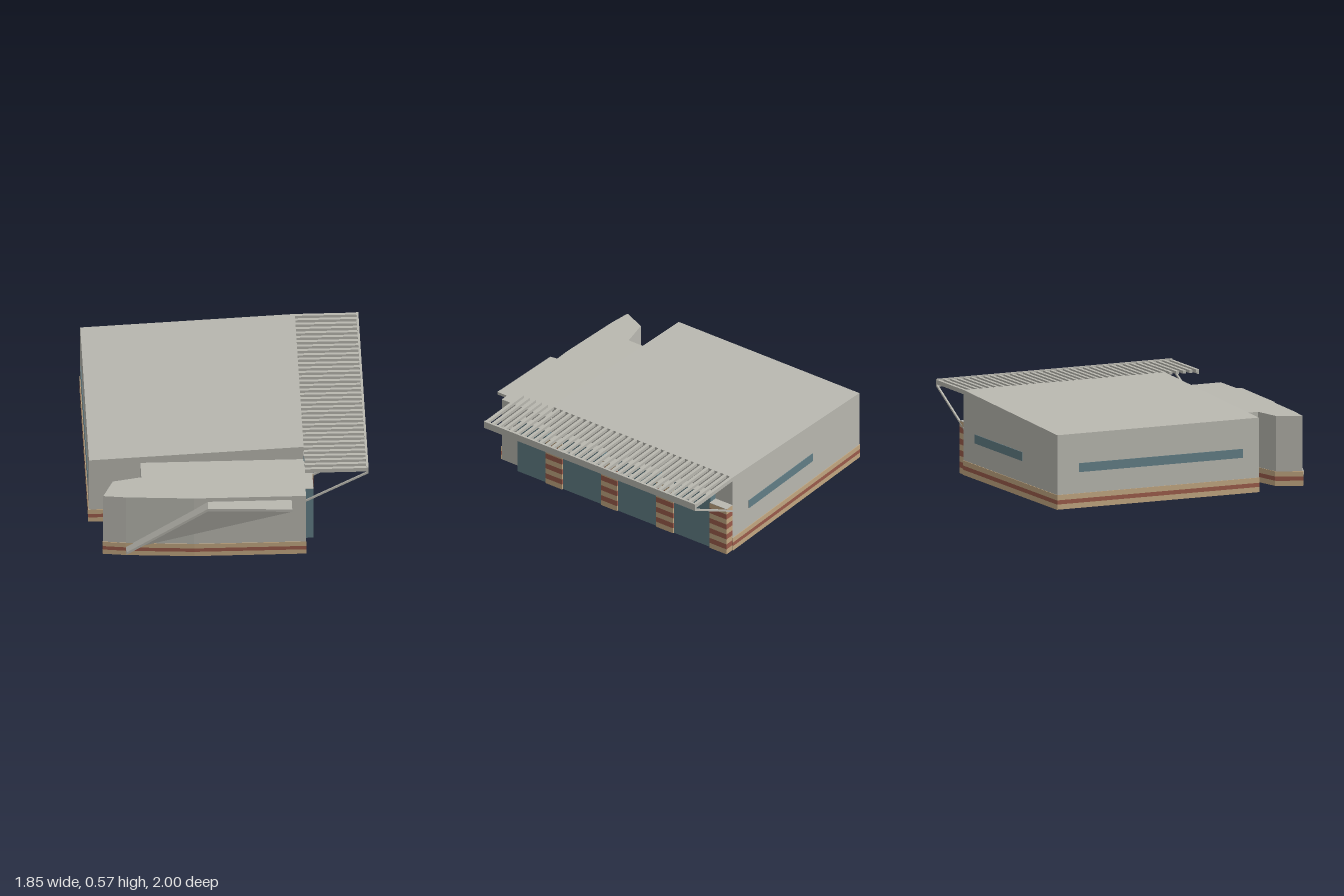
import * as THREE from 'three';

export function createModel() {
  const model = new THREE.Group();
  model.name = 'building';
  const mat = (name, color, side = THREE.FrontSide) => {
    const m = new THREE.MeshStandardMaterial({ color, side });
    m.name = name;
    return m;
  };
  const grey = mat('render grey', 0xb9b8b0, THREE.DoubleSide);
  const teal = mat('glass teal', 0x627e86);
  const tan = mat('tan brick', 0xc3a882);
  const red = mat('red brick', 0x9b5c4b);

  const add = (name, geometry, material, parent = model) => {
    const mesh = new THREE.Mesh(geometry, material);
    mesh.name = name;
    parent.add(mesh);
    return mesh;
  };
  const group = (name) => {
    const g = new THREE.Group();
    g.name = name;
    model.add(g);
    return g;
  };
  // Box given by its minimum and maximum on each axis
  const box = (name, x0, x1, y0, y1, z0, z1, material, parent) => {
    const mesh = add(name, new THREE.BoxGeometry(x1 - x0, y1 - y0, z1 - z0), material, parent);
    mesh.position.set((x0 + x1) / 2, (y0 + y1) / 2, (z0 + z1) / 2);
    return mesh;
  };
  // Flat-sided surface from polygons with three or four corners
  const surface = (polygons) => {
    const p = [];
    for (const c of polygons) {
      for (let i = 1; i < c.length - 1; i++) p.push(...c[0], ...c[i], ...c[i + 1]);
    }
    const g = new THREE.BufferGeometry();
    g.setAttribute('position', new THREE.Float32BufferAttribute(p, 3));
    g.computeVertexNormals();
    return g;
  };
  // Upright walls along a plan path of [x, z] points
  const walls = (path, top) => surface(path.slice(1).map((b, i) => {
    const a = path[i];
    return [[a[0], 0, a[1]], [b[0], 0, b[1]], [b[0], top(b[0]), b[1]], [a[0], top(a[0]), a[1]]];
  }));
  // Thin plate on the outside of a wall segment
  const plate = (name, a, b, y0, y1, material, parent) => {
    const dx = b[0] - a[0], dz = b[1] - a[1], L = Math.hypot(dx, dz);
    const mesh = add(name, new THREE.BoxGeometry(L + 0.004, y1 - y0, 0.004), material, parent);
    mesh.position.set((a[0] + b[0]) / 2 - dz / L * 0.003, (y0 + y1) / 2, (a[1] + b[1]) / 2 + dx / L * 0.003);
    mesh.rotation.y = -Math.atan2(dz, dx);
  };

  // Main hall with a single-pitch roof, open underneath
  const roofY = (x) => 0.5 + (x + 0.92) / 1.42 * 0.07;
  const hall = [[0.5, -1], [-0.92, -1], [-0.92, 0.48], [0.5, 0.48], [0.5, -1]];
  add('hallWalls', walls(hall, roofY), grey);
  add('hallRoof', surface([[
    [-0.92, 0.5, -1], [-0.92, 0.5, 0.48], [0.5, 0.57, 0.48], [0.5, 0.57, -1]]]), grey);

  // Lower front annex with a bent front and a notched left end
  const annex = [[-0.58, 0.48], [-0.58, 0.64], [-0.77, 0.68], [-0.84, 0.84],
    [-0.69, 0.86], [-0.24, 0.89], [0.5, 0.89], [0.5, 0.48]];
  add('annexWalls', walls(annex, () => 0.47), grey);
  const roof = new THREE.ShapeGeometry(new THREE.Shape(annex.map(([x, z]) => new THREE.Vector2(x, -z))));
  roof.rotateX(-Math.PI / 2);
  add('annexRoof', roof, grey).position.y = 0.47;

  // Striped brick plinth around the walls
  const plinth = group('plinth');
  const courses = [[0, 0.035, tan], [0.035, 0.063, red], [0.063, 0.098, tan]];
  const plinthPath = [...hall.slice(0, 3), ...annex.slice(0, 7)];
  for (const [y0, y1, m] of courses) {
    for (let i = 0; i < plinthPath.length - 1; i++) {
      plate('plinthCourse', plinthPath[i], plinthPath[i + 1], y0, y1, m, plinth);
    }
    plate('innerCourse', [0.5, 0.48], [-0.58, 0.48], y0, y1, m, plinth);
  }

  // Ribbon windows on the back and left walls
  plate('backWindow', [0.32, -1], [-0.39, -1], 0.24, 0.3, teal);
  plate('leftWindow', [-0.92, -0.84], [-0.92, 0.36], 0.24, 0.3, teal);

  // Glazed bays with grey caps along the right side
  const bays = group('bays');
  for (const [z0, z1] of [[0.485, 0.72], [0.03, 0.35], [-0.42, -0.1], [-0.86, -0.56]]) {
    box('bayWindow', 0.5, 0.555, 0, 0.4, z0, z1, teal, bays);
    box('bayCap', 0.5, 0.555, 0.4, 0.404, z0, z1, grey, bays);
  }

  // Striped brick piers between the bays
  const piers = group('piers');
  for (const [z0, z1] of [[0.35, 0.485], [-0.1, 0.03], [-0.56, -0.42], [-0.998, -0.86]]) {
    for (let i = 0; i < 9; i++) {
      const y = i * 0.039;
      box('pierCourse', 0.5, 0.565, y, y + 0.039, z0, z1, i % 2 ? red : tan, piers);
    }
    box('pierCap', 0.5, 0.565, 0.351, 0.354, z0, z1, grey, piers);
  }

  // Slatted sunshade with an edge beam and sloping struts
  const sunshade = group('sunshade');
  box('edgeBeam', 0.905, 0.92, 0.525, 0.575, -1, 0.73, grey, sunshade);
  for (let i = 0; i < 36; i++) {
    const z = -0.989 + i * 1.708 / 35;
    box('slat', 0.5, 0.906, 0.55, 0.57, z - 0.011, z + 0.011, grey, sunshade);
  }
  for (let i = 0; i < 8; i++) {
    const z = 0.724 - i * 0.2453;
    const strut = box('strut', 0, Math.hypot(0.41, 0.22), 0, 0.012, z - 0.006, z + 0.006, grey, sunshade);
    strut.position.set(0.705, 0.417, z);
    strut.rotation.z = Math.atan2(0.22, 0.41);
    box('rafter', 0.5, 0.906, 0.54, 0.55, z - 0.005, z + 0.005, grey, sunshade);
  }

  // Folded entrance canopy: a bent ribbon, each station [x, y, inner z, outer z]
  const stations = [[-0.69, 0.045, 0.86, 0.925], [-0.15, 0.42, 0.89, 0.968], [0.405, 0.42, 0.89, 0.996]];
  const t = 0.02;
  const ring = stations.map(([x, y, a, b]) => [[x, y, a], [x, y, b], [x, y + t, b], [x, y + t, a]]);
  const faces = [ring[0], [...ring[2]].reverse()];
  for (let s = 0; s < 2; s++) {
    for (let k = 0; k < 4; k++) {
      const n = (k + 1) % 4;
      faces.push([ring[s][k], ring[s + 1][k], ring[s + 1][n], ring[s][n]]);
    }
  }
  add('canopyRibbon', surface(faces.map((f) => [...f].reverse())), grey);
  add('canopySoffit', surface([[[-0.69, 0.047, 0.868], [0.405, 0.42, 0.995], [-0.15, 0.42, 0.967]]]), grey);

  return model;
}
